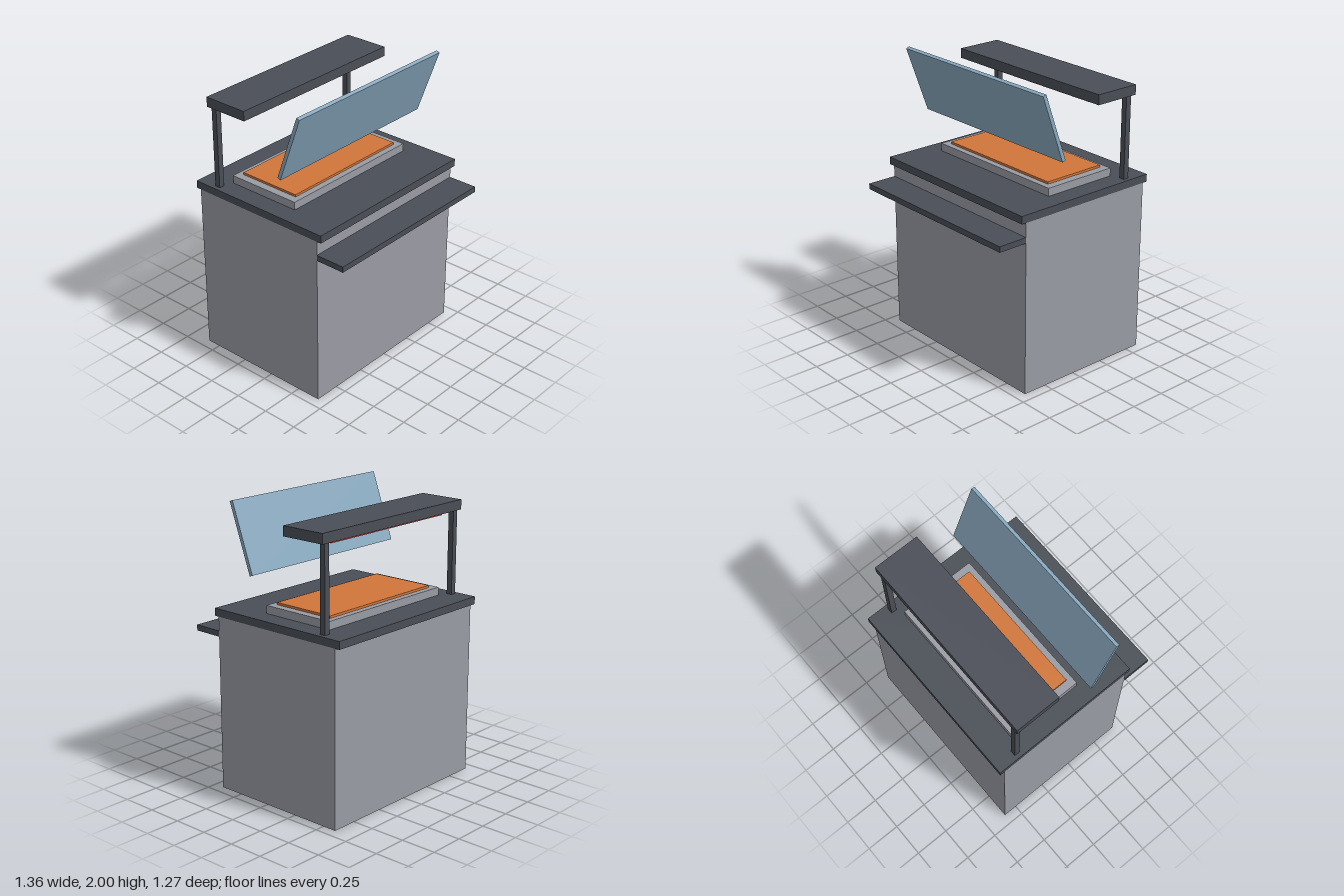
import * as THREE from 'three';

const material = (name, color) => {
  const m = new THREE.MeshStandardMaterial({ color });
  m.name = name;
  return m;
};

export function createModel() {
  const model = new THREE.Group();
  model.name = 'servingCounter';

  const steel = material('brushed steel', 0x9a9ca4);
  const dark = material('dark trim', 0x4a4e56);
  const glass = material('pale blue glass', 0x8aaac0);
  const orange = material('orange warming plate', 0xd0763a);
  const red = material('red heat lamp', 0xc8403c);

  // Box given by its half width and its y and z ranges
  const addBox = (name, mat, halfX, [y0, y1], [z0, z1], x = 0) => {
    const mesh = new THREE.Mesh(new THREE.BoxGeometry(halfX * 2, y1 - y0, z1 - z0), mat);
    mesh.position.set(x, (y0 + y1) / 2, (z0 + z1) / 2);
    mesh.name = name;
    model.add(mesh);
    return mesh;
  };

  // Cabinet, worktop and tray rail
  addBox('cabinet', steel, 0.682, [0, 1.207], [-0.6, 0.425]);
  addBox('worktop', dark, 0.682, [1.207, 1.26], [-0.635, 0.458]);
  addBox('trayRail', dark, 0.682, [1.07, 1.11], [0.425, 0.637]);

  // Raised tray with its warming plate
  addBox('tray', steel, 0.547, [1.26, 1.315], [-0.43, 0.117]);
  addBox('warmingPlate', orange, 0.492, [1.315, 1.331], [-0.388, 0.074]);

  // Overhead gantry
  for (const side of [-1, 1]) {
    addBox(side > 0 ? 'leftPost' : 'rightPost', dark, 0.02, [1.26, 1.84], [-0.49, -0.45], side * 0.632);
  }
  addBox('hood', dark, 0.682, [1.837, 1.905], [-0.5, -0.173]);
  addBox('heatLamp', red, 0.545, [1.812, 1.837], [-0.445, -0.224]);

  // Tilted glass guard
  const guard = addBox('glassGuard', glass, 0.682, [1.52, 2.011], [0.185, 0.211]);
  guard.rotation.x = THREE.MathUtils.degToRad(20);

  return model;
}
